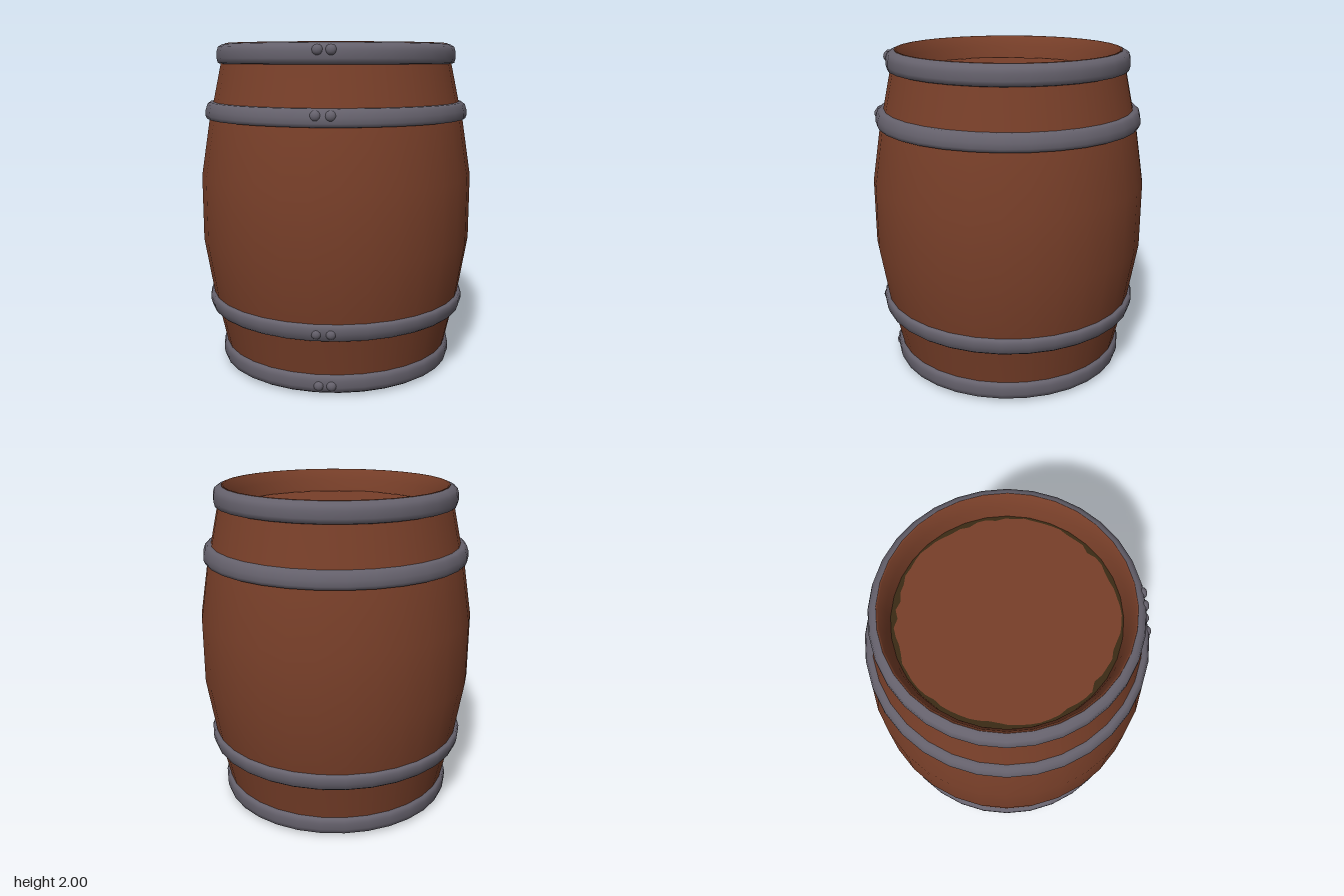
import * as THREE from 'three';

const SIDES = 32;

export function createModel() {
  const barrel = new THREE.Group();
  barrel.name = 'barrel';
  const material = (name, color, side = THREE.FrontSide) => {
    const m = new THREE.MeshStandardMaterial({ color, side });
    m.name = name;
    return m;
  };
  const wood = material('reddish wood', 0x783f29);
  const iron = material('grey iron', 0x65616c);
  const grime = material('dark olive grime', 0x3a2a14);

  const add = (name, geometry, mat, parent = barrel) => {
    const mesh = new THREE.Mesh(geometry, mat);
    mesh.name = name;
    parent.add(mesh);
    return mesh;
  };
  const lathe = (points) =>
    new THREE.LatheGeometry(points.map(([r, y]) => new THREE.Vector2(r, y)), SIDES);

  // Bulging outer wall, symmetric about mid height
  const lower = [[0.685, 0], [0.715, 0.13], [0.765, 0.36], [0.79, 0.46], [0.845, 0.8]];
  const upper = lower.map(([r, y]) => [r, 2 - y]).reverse();
  add('staves', lathe([...lower, ...upper]), wood);

  // Recessed ends: tapered inner rim, grimy seam and an uneven wooden head
  let seed = 7;
  const random = () => {
    seed = (seed * 16807) % 2147483647;
    return seed / 2147483647;
  };
  const headShape = (jag) => {
    const points = [];
    for (let i = 0; i < 72; i++) {
      const a = (i / 72) * Math.PI * 2;
      const r = 0.618 - jag * (0.5 + 0.5 * Math.sin(a * 5 + 1)) * random() - 0.01 * random();
      points.push(new THREE.Vector2(Math.cos(a) * r, Math.sin(a) * r));
    }
    return new THREE.Shape(points);
  };
  for (const top of [true, false]) {
    const end = new THREE.Group();
    end.name = top ? 'topEnd' : 'bottomEnd';
    add('innerRim', lathe([[0.685, 1], [0.675, 0.998], [0.645, 0.93], [0.625, 0.84]]), wood, end);
    const seam = add('grimeSeam', new THREE.CircleGeometry(0.635, SIDES), grime, end);
    seam.rotation.x = -Math.PI / 2;
    seam.position.y = 0.856;
    const head = add('head', new THREE.ShapeGeometry(headShape(top ? 0.03 : 0.012)), wood, end);
    head.rotation.x = -Math.PI / 2;
    head.position.y = 0.861;
    end.position.y = 1;
    if (!top) end.rotation.x = Math.PI;
    barrel.add(end);
  }

  // Rounded iron hoops, listed as radius and height from the bottom up
  const endHoop = [
    [0.683, 0.003], [0.705, 0.008], [0.727, 0.022], [0.736, 0.05],
    [0.737, 0.09], [0.73, 0.117], [0.705, 0.124],
  ];
  const bellyHoop = [
    [0.755, 0.35], [0.785, 0.352], [0.801, 0.365], [0.812, 0.4],
    [0.814, 0.43], [0.806, 0.45], [0.78, 0.453],
  ];
  const mirrored = (points) => points.map(([r, y]) => [r, 2 - y]).reverse();
  const hoops = [
    ['bottomHoop', endHoop, 0.06, 0.725, [-0.117, -0.043]],
    ['lowerHoop', bellyHoop, 0.4, 0.797, [-0.13, -0.047]],
    ['upperHoop', mirrored(bellyHoop), 1.61, 0.797, [-0.13, -0.047]],
    ['topHoop', mirrored(endHoop), 1.955, 0.725, [-0.117, -0.043]],
  ];
  for (const [name, profile, y, radius, rivetXs] of hoops) {
    const hoop = new THREE.Group();
    hoop.name = name;
    add('band', lathe(profile), iron, hoop);
    // Pair of domed rivets on the front
    for (const x of rivetXs) {
      const rivet = add('rivet', new THREE.SphereGeometry(0.031, 12, 8), iron, hoop);
      rivet.position.set(x, y, Math.sqrt(radius * radius - x * x));
      rivet.rotation.y = Math.asin(x / radius);
      rivet.scale.z = 0.8;
    }
    barrel.add(hoop);
  }
  return barrel;
}
